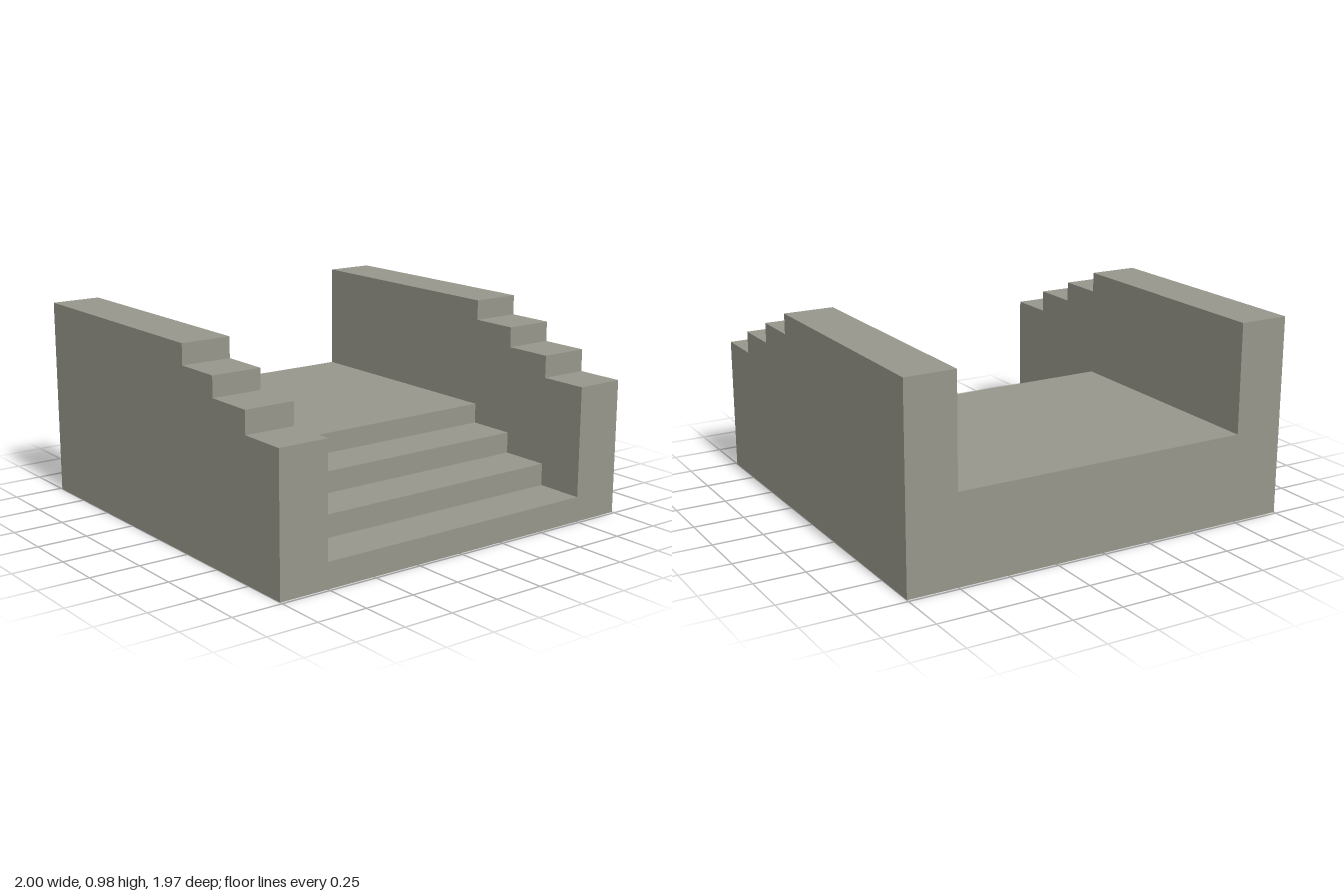
import * as THREE from 'three';

const HALF_DEPTH = 0.985;
const RISER_Z = [0.74, 0.49, 0.245]; // riser positions, front to back

// Stepped side profile (z, y) extruded across the width and centred on x
function steppedBlock(name, heights, width, x, material) {
  const shape = new THREE.Shape();
  shape.moveTo(-HALF_DEPTH, 0);
  shape.lineTo(HALF_DEPTH, 0);
  shape.lineTo(HALF_DEPTH, heights[0]);
  RISER_Z.forEach((z, i) => {
    shape.lineTo(z, heights[i]);
    shape.lineTo(z, heights[i + 1]);
  });
  shape.lineTo(-HALF_DEPTH, heights[heights.length - 1]);
  shape.closePath();

  const geometry = new THREE.ExtrudeGeometry(shape, { depth: width, bevelEnabled: false });
  geometry.translate(0, 0, -width / 2);
  geometry.rotateY(-Math.PI / 2); // profile x becomes z

  const mesh = new THREE.Mesh(geometry, material);
  mesh.name = name;
  mesh.position.x = x;
  return mesh;
}

export function createModel() {
  const stone = new THREE.MeshStandardMaterial({ color: 0x97968b });
  stone.name = 'stone';

  const model = new THREE.Group();
  model.name = 'stoneStairs';

  // Steps leading to the rear landing
  model.add(steppedBlock('stepsAndLanding', [0.125, 0.235, 0.34, 0.44], 1.5, 0, stone));

  // Stepped walls on both sides
  for (const [name, side] of [['leftWall', 1], ['rightWall', -1]]) {
    model.add(steppedBlock(name, [0.67, 0.78, 0.88, 0.98], 0.25, side * 0.875, stone));
  }
  return model;
}
